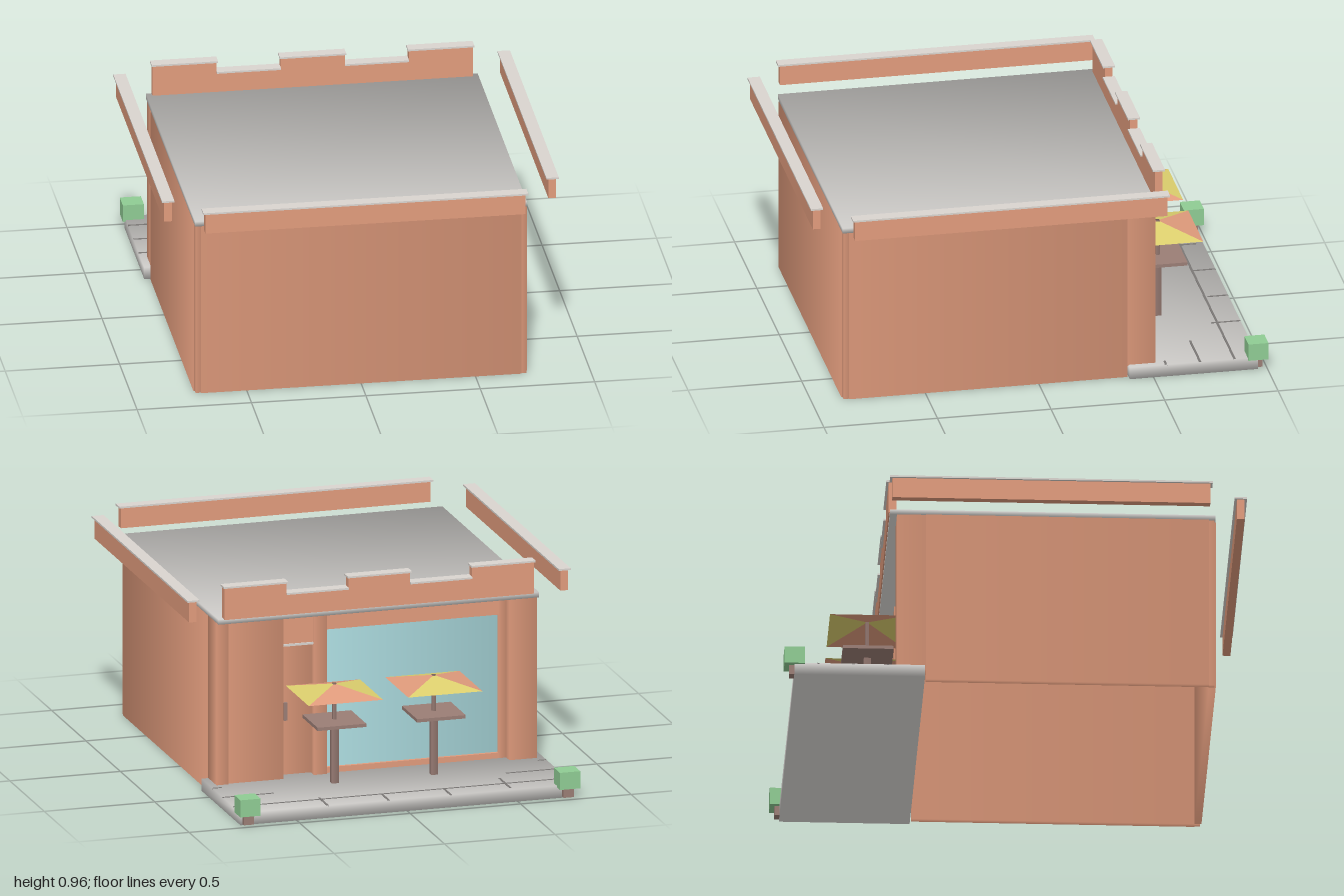
import * as THREE from 'three';

const mat = (name, color, side = THREE.FrontSide) => {
  const m = new THREE.MeshStandardMaterial({ color, side });
  m.name = name;
  return m;
};

export function createModel() {
  const model = new THREE.Group();
  model.name = 'cafe';

  const clay = mat('clay', 0xe09b7c);
  const stone = mat('stone', 0xcfcdca);
  const capStone = mat('cap stone', 0xd9d4cf);
  const groove = mat('groove grey', 0x7a7775);
  const brown = mat('brown', 0x9a7d75);
  const green = mat('green', 0x8fcb93);
  const glass = mat('glass blue', 0xb3e4e8, THREE.DoubleSide);
  const clayCloth = mat('clay cloth', 0xe09b7c, THREE.DoubleSide);
  const yellowCloth = mat('yellow cloth', 0xdccf6e, THREE.DoubleSide);

  // Box given by its minimum and maximum on each axis
  const box = (name, material, x0, x1, y0, y1, z0, z1, parent = model) => {
    const mesh = new THREE.Mesh(new THREE.BoxGeometry(x1 - x0, y1 - y0, z1 - z0), material);
    mesh.position.set((x0 + x1) / 2, (y0 + y1) / 2, (z0 + z1) / 2);
    mesh.name = name;
    parent.add(mesh);
    return mesh;
  };

  // Smooths a box across its corners; upward = 0 keeps the normals level
  const soften = (mesh, upward = 0) => {
    const { position: p, normal: n } = mesh.geometry.attributes;
    const v = new THREE.Vector3();
    for (let i = 0; i < p.count; i++) {
      v.set(Math.sign(p.getX(i)), upward * Math.sign(p.getY(i)), Math.sign(p.getZ(i))).normalize();
      n.setXYZ(i, v.x, v.y, v.z);
    }
    return mesh;
  };
  const softBox = (...args) => soften(box(...args));

  // Hollow shell: front wall, side walls, corner posts, roof
  const top = 0.785;
  softBox('frontWall', clay, -0.7, 0.7, 0, top, 0.835, 0.865);
  for (const s of [-1, 1]) {
    const side = (name, a, b, z0, z1) =>
      softBox(name, clay, Math.min(s * a, s * b), Math.max(s * a, s * b), 0, top, z0, z1);
    side('sideWall', 0.7, 0.729, -0.39, 0.835);
    side('cornerPost', 0.7, 0.723, 0.835, 0.859);
  }
  soften(box('roof', stone, -0.725, 0.725, top, 0.808, -0.545, 0.863), 1);

  // Shopfront: pilasters, header, sill, window and door
  softBox('rightPilaster', clay, -0.725, -0.6, 0.05, top, -0.515, -0.39);
  softBox('leftPilaster', clay, 0.67, 0.725, 0.05, top, -0.515, -0.39);
  softBox('leftWidePilaster', clay, 0.42, 0.67, 0.05, top, -0.505, -0.39);
  softBox('mullion', clay, 0.215, 0.275, 0.05, top, -0.485, -0.41);
  softBox('windowJamb', clay, -0.6, -0.565, 0.05, top, -0.47, -0.41);
  box('header', clay, -0.565, 0.215, 0.7, top, -0.47, -0.41);
  box('sill', clay, -0.565, 0.215, 0.05, 0.08, -0.47, -0.41);
  softBox('window', glass, -0.565, 0.215, 0.08, 0.7, -0.455, -0.447);
  box('doorTransom', clay, 0.275, 0.42, 0.65, top, -0.47, -0.41);
  box('doorLintel', capStone, 0.275, 0.42, 0.64, 0.65, -0.475, -0.41);
  softBox('door', clay, 0.275, 0.42, 0.055, 0.64, -0.44, -0.415);
  for (const z of [-0.445, -0.41]) {
    box('doorHandle', brown, 0.385, 0.4, 0.3, 0.38, z - 0.008, z + 0.008);
  }

  // Detached parapets on the front and the sides
  const parapet = (name, length, x, z, turned) => {
    const g = new THREE.Group();
    g.name = name;
    box('parapetWall', clay, -length / 2, length / 2, 0.805, 0.897, -0.017, 0.017, g);
    box('parapetCap', capStone, -length / 2 - 0.01, length / 2 + 0.01, 0.897, 0.905, -0.027, 0.027, g);
    g.position.set(x, 0, z);
    if (turned) g.rotation.y = Math.PI / 2;
    model.add(g);
  };
  parapet('frontParapet', 1.4, 0, 0.973, false);
  for (const s of [-1, 1]) parapet('sideParapet', 1.375, s * 0.84, 0.147, true);

  // Stepped parapet above the shopfront
  box('steppedParapet', clay, -0.7, 0.7, 0.805, 0.897, -0.55, -0.517);
  for (const x of [-0.56, 0, 0.56]) {
    box('parapetStep', clay, x - 0.14, x + 0.14, 0.897, 0.948, -0.55, -0.517);
    box('stepCap', capStone, x - 0.145, x + 0.145, 0.948, 0.956, -0.56, -0.507);
  }
  for (const x of [-0.28, 0.28]) {
    box('lowCap', capStone, x - 0.14, x + 0.14, 0.897, 0.905, -0.56, -0.507);
  }

  // Terrace with paving joints
  soften(box('terrace', stone, -0.755, 0.755, 0, 0.055, -0.96, -0.395), 1);
  const joint = (x0, x1, z0, z1) => box('pavingJoint', groove, x0, x1, 0.051, 0.0562, z0, z1);
  joint(-0.755, 0.755, -0.862, -0.852);
  for (const s of [-1, 1]) {
    joint(s * 0.64 - 0.115, s * 0.64 + 0.115, -0.71, -0.7);
    joint(s * 0.735 - 0.02, s * 0.735 + 0.02, -0.56, -0.55);
  }
  for (const [x, z0, z1] of [[-0.475, -0.93, -0.77], [-0.197, -0.96, -0.86],
    [0.084, -0.96, -0.87], [0.36, -0.96, -0.83]]) {
    joint(x - 0.005, x + 0.005, z0, z1);
  }

  // Planters on the outer terrace corners
  for (const s of [-1, 1]) {
    const x = s * 0.723;
    box('planterFoot', brown, x - 0.023, x + 0.023, 0.005, 0.05, -0.982, -0.936);
    box('planterBush', green, x - 0.046, x + 0.046, 0.048, 0.125, -1.003, -0.915);
  }

  // Parasol tables; canopy panels alternate between two cloths
  const canopyPanel = (h) => {
    const g = new THREE.BufferGeometry();
    g.setAttribute('position', new THREE.Float32BufferAttribute(
      [-h, 0, h, h, 0, h, 0, 0.042, 0], 3));
    g.computeVertexNormals();
    return g;
  };
  for (const s of [-1, 1]) {
    const table = new THREE.Group();
    table.name = 'parasolTable';
    table.position.set(s * 0.225, 0, -0.622);
    softBox('tableLeg', brown, -0.015, 0.015, 0.05, 0.325, -0.015, 0.015, table);
    box('tableTop', brown, -0.11, 0.11, 0.325, 0.34, -0.11, 0.11, table);
    softBox('parasolPole', brown, -0.008, 0.008, 0.34, 0.502, -0.008, 0.008, table);
    for (let i = 0; i < 4; i++) {
      const yellow = (i % 2 === 0) === (s < 0);
      const panel = new THREE.Mesh(canopyPanel(0.168), yellow ? yellowCloth : clayCloth);
      panel.name = 'canopyPanel';
      panel.position.y = 0.458;
      panel.rotation.y = i * Math.PI / 2;
      table.add(panel);
    }
    model.add(table);
  }

  return model;
}
